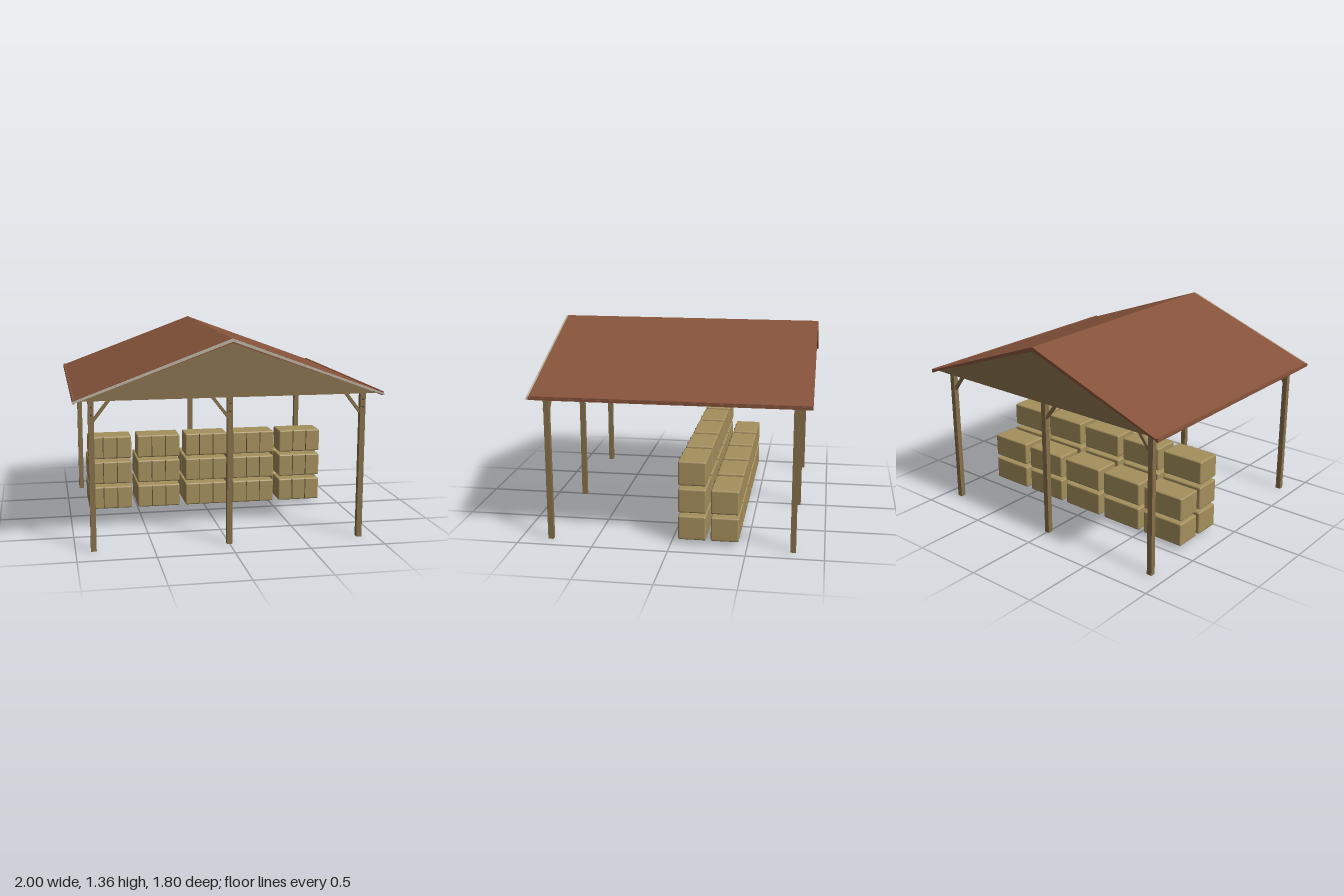
import * as THREE from 'three';
import { RoundedBoxGeometry } from 'three/addons/geometries/RoundedBoxGeometry.js';

const mat = (name, color) => {
  const m = new THREE.MeshStandardMaterial({ color });
  m.name = name;
  return m;
};

export function createModel() {
  const timber = mat('timber', 0x86704a);
  const roofing = mat('red brown roofing', 0x86533b);
  const trimPaint = mat('pale trim', 0xb9b3a2);
  const straw = mat('straw', 0xa5905d);
  const twine = mat('dark twine', 0x5e4e30);
  const iron = mat('dark iron', 0x2c2926);

  const shed = new THREE.Group();
  shed.name = 'hayShed';

  const add = (parent, name, geometry, material, x = 0, y = 0, z = 0) => {
    const mesh = new THREE.Mesh(geometry, material);
    mesh.name = name;
    mesh.position.set(x, y, z);
    parent.add(mesh);
    return mesh;
  };

  // Extrude an outline in x, y between two depths
  const slab = (points, z0, z1) => {
    const shape = new THREE.Shape(points.map(([x, y]) => new THREE.Vector2(x, y)));
    const g = new THREE.ExtrudeGeometry(shape, { depth: z1 - z0, bevelEnabled: false });
    return g.translate(0, 0, z0);
  };
  const chevron = (thickness) => [
    [-1, 0.985], [-1, 0.972], [0, 1.355 - thickness], [1, 0.972], [1, 0.985], [0, 1.355],
  ];

  // Roof: slopes, front trim, eave boards, closed gables and ceiling
  const roof = new THREE.Group();
  roof.name = 'roof';
  shed.add(roof);
  add(roof, 'roofSlopes', slab(chevron(0.03), -0.9, 0.887), roofing);
  add(roof, 'frontTrim', slab(chevron(0.019), 0.887, 0.9), trimPaint);
  add(roof, 'gablesAndCeiling', slab([[-0.955, 0.983], [0.955, 0.983], [0, 1.33]], -0.875, 0.875), timber);
  for (const s of [-1, 1]) {
    add(roof, 'eaveBoard', new THREE.BoxGeometry(0.014, 0.024, 1.786), roofing, s * 0.992, 0.982, -0.006);
  }

  // Posts with one diagonal brace each
  const postGeo = new THREE.BoxGeometry(0.036, 0.986, 0.036);
  const braceGeo = new THREE.BoxGeometry(0.02, 0.17, 0.02);
  const boltGeo = new THREE.CylinderGeometry(0.005, 0.005, 0.008, 8).rotateX(Math.PI / 2);
  for (const z of [-0.8, 0.8]) {
    for (const [x, dir] of [[-0.885, 1], [0, -1], [0.885, -1]]) {
      add(shed, 'post', postGeo, timber, x, 0.493, z);
      const brace = add(shed, 'brace', braceGeo, timber, x + dir * 0.065, 0.914, z);
      brace.rotation.z = -dir * 0.66;
      if (z > 0) {
        for (const y of [0.885, 0.935]) add(shed, 'bolt', boltGeo, iron, x, y, z + 0.021);
      }
    }
  }

  // Hay bales: front row three high, back row two high
  const baleGeo = new RoundedBoxGeometry(0.31, 0.163, 0.184, 2, 0.011);
  const twineGeo = new THREE.BoxGeometry(0.006, 0.155, 0.004);
  const stack = new THREE.Group();
  stack.name = 'baleStack';
  shed.add(stack);
  for (const [z, layers] of [[-0.139, 3], [-0.354, 2]]) {
    for (let layer = 0; layer < layers; layer++) {
      for (let col = -2; col <= 2; col++) {
        const x = col * 0.353;
        const y = 0.111 + layer * 0.186;
        add(stack, 'bale', baleGeo, straw, x, y, z);
        for (const dx of [-0.05, 0.05]) add(stack, 'twine', twineGeo, twine, x + dx, y, z + 0.093);
      }
    }
  }

  return shed;
}
